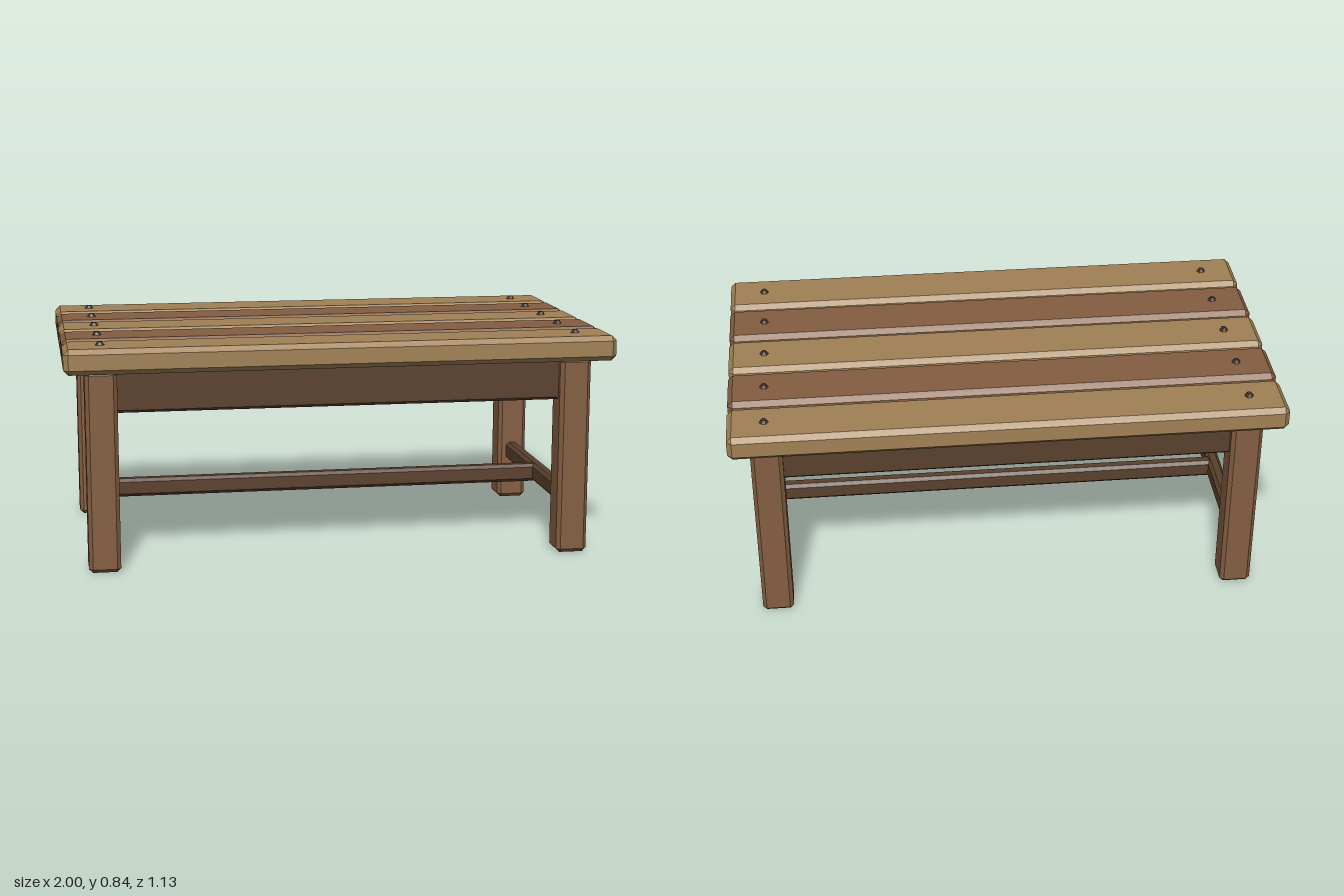
import * as THREE from 'three';
import { ConvexGeometry } from 'three/addons/geometries/ConvexGeometry.js';

const material = (name, color) => {
  const m = new THREE.MeshStandardMaterial({ color });
  m.name = name;
  return m;
};

// Box with every edge and corner cut at 45 degrees by c
function chamferedBox(w, h, d, c) {
  const points = [];
  for (const sx of [-1, 1]) for (const sy of [-1, 1]) for (const sz of [-1, 1]) {
    const x = w / 2, y = h / 2, z = d / 2;
    points.push(
      new THREE.Vector3(sx * x, sy * (y - c), sz * (z - c)),
      new THREE.Vector3(sx * (x - c), sy * y, sz * (z - c)),
      new THREE.Vector3(sx * (x - c), sy * (y - c), sz * z)
    );
  }
  return new ConvexGeometry(points);
}

export function createModel() {
  const model = new THREE.Group();
  model.name = 'slattedTable';

  const lightWood = material('light wood', 0xa18155);
  const midWood = material('mid brown wood', 0x845e41);
  const darkWood = material('dark brown wood', 0x5a402d);
  const boltBrown = material('bolt brown', 0x4a3528);

  const add = (name, geometry, mat, x, y, z) => {
    const mesh = new THREE.Mesh(geometry, mat);
    mesh.name = name;
    mesh.position.set(x, y, z);
    model.add(mesh);
  };

  const legX = 0.868, legZ = 0.438;

  // Five top planks in alternating woods, each with a bolt at both ends
  const plank = chamferedBox(2, 0.092, 0.21, 0.018);
  const bolt = new THREE.CylinderGeometry(0.009, 0.018, 0.014, 6).toNonIndexed();
  bolt.rotateY(Math.PI / 6);
  bolt.computeVertexNormals();
  for (let i = -2; i <= 2; i++) {
    const z = i * 0.23;
    add('topPlank', plank, i % 2 ? midWood : lightWood, 0, 0.781, z);
    for (const s of [-1, 1]) add('bolt', bolt, boltBrown, s * legX, 0.832, z);
  }

  // Legs
  const leg = chamferedBox(0.115, 0.736, 0.115, 0.014);
  for (const sx of [-1, 1]) for (const sz of [-1, 1]) {
    add('leg', leg, midWood, sx * legX, 0.368, sz * legZ);
  }

  // Aprons under the top
  const longApron = chamferedBox(1.68, 0.156, 0.05, 0.01);
  const endApron = chamferedBox(0.05, 0.156, 0.82, 0.01);
  for (const s of [-1, 1]) {
    add('longApron', longApron, darkWood, 0, 0.657, s * legZ);
    add('endApron', endApron, darkWood, s * legX, 0.657, 0);
  }

  // Low stretchers in an H
  const endStretcher = chamferedBox(0.05, 0.072, 0.82, 0.012);
  for (const s of [-1, 1]) add('endStretcher', endStretcher, darkWood, s * legX, 0.198, 0);
  add('centreStretcher', chamferedBox(1.72, 0.07, 0.05, 0.012), darkWood, 0, 0.198, 0);

  return model;
}
